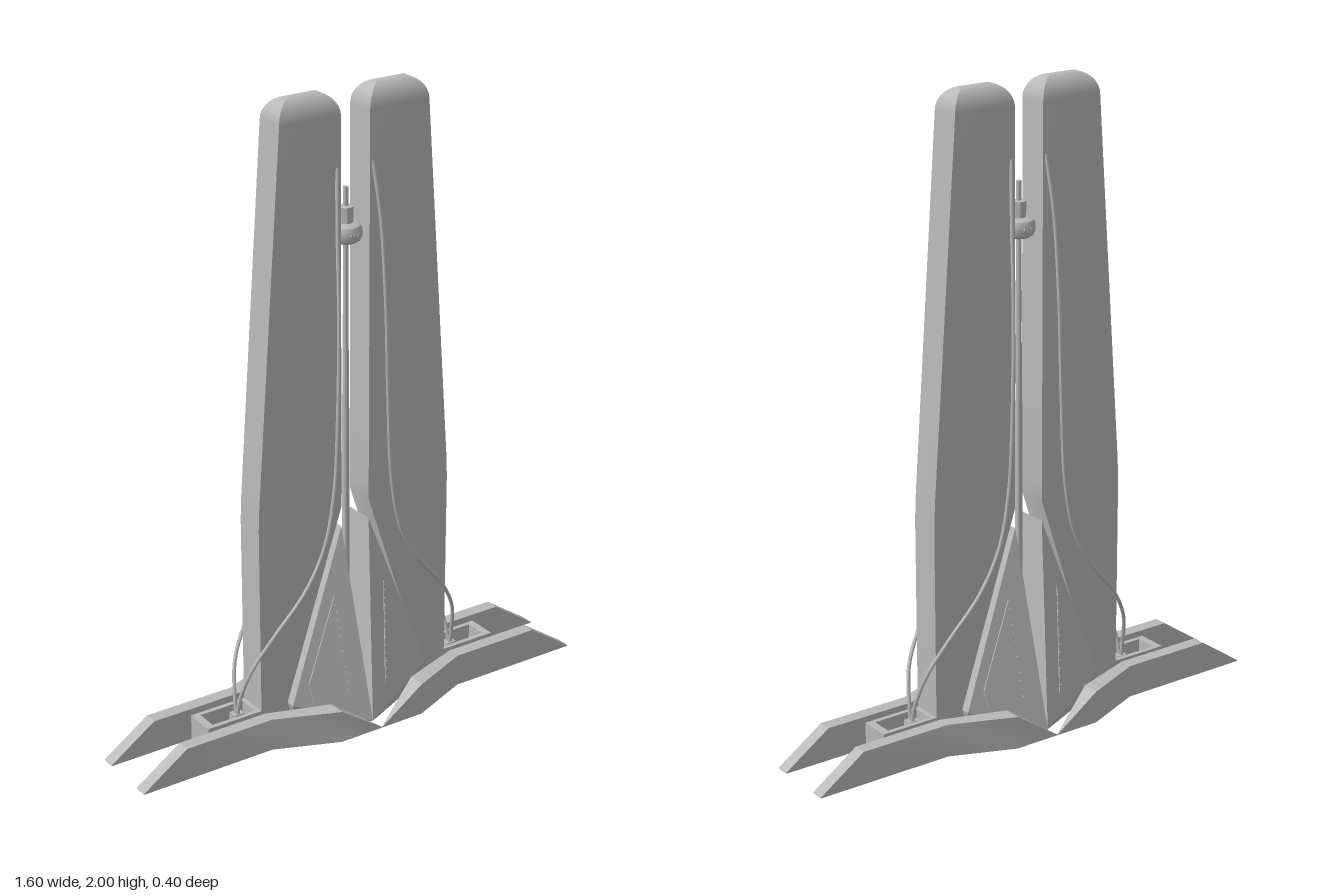
import * as THREE from 'three';
import { toCreasedNormals } from 'three/addons/utils/BufferGeometryUtils.js';
import { ConvexGeometry } from 'three/addons/geometries/ConvexGeometry.js';

const grey = new THREE.MeshStandardMaterial({ color: 0xb8b8b8 });
grey.name = 'hull grey';

const V = (x, y, z) => new THREE.Vector3(x, y, z);

// Skins closed four-point rings and caps both ends
function loft(rings) {
  const n = rings[0].length, idx = [], last = (rings.length - 1) * n;
  for (let i = 0; i < rings.length - 1; i++) {
    for (let j = 0; j < n; j++) {
      const a = i * n + j, b = i * n + (j + 1) % n;
      idx.push(a, b, b + n, a, b + n, a + n);
    }
  }
  for (let j = 1; j < n - 1; j++) {
    idx.push(0, j + 1, j, last, last + j, last + j + 1);
  }
  const g = new THREE.BufferGeometry();
  g.setAttribute('position', new THREE.Float32BufferAttribute(rings.flat(2), 3));
  g.setIndex(idx);
  return toCreasedNormals(g, 0.45);
}

export function createModel() {
  const model = new THREE.Group();
  model.name = 'tower';
  const add = (name, geometry, parent = model) => {
    const m = new THREE.Mesh(geometry, grey);
    m.name = name;
    parent.add(m);
    return m;
  };

  // Tall blade: [y, inner x, outer x, half depth], with a rounded crown
  const sections = [
    [0.02, 0.275, 0.345, 0.05], [0.1, 0.25, 0.345, 0.05],
    [0.71, 0.05, 0.345, 0.05], [0.78, 0.05, 0.342, 0.05],
  ];
  for (let i = 0; i <= 7; i++) {
    const t = (i / 7) * 1.45, s = 1 - Math.cos(t);
    sections.push([1.93 + 0.07 * Math.sin(t) / Math.sin(1.45),
      0.05 + 0.065 * s, 0.258 - 0.065 * s, 0.05 * Math.cos(t)]);
  }
  const bladeGeo = loft(sections.map(([y, a, b, h]) =>
    [[a, y, -h], [a, y, h], [b, y, h], [b, y, -h]]));

  // Buttress fin, tapering from the base to a tip beside the mast
  const finPoints = [];
  for (const s of [1, -1]) {
    finPoints.push(V(0.05, 0.645, 0.05 * s), V(0, 0, 0.15 * s),
      V(0.25, 0.1, 0.08 * s), V(0.22, 0, 0.05 * s));
  }
  const finGeo = new ConvexGeometry(finPoints);
  const finZ = (x, y) => 0.15 - 0.225 * x - 0.139 * y;

  // Thin panel lying on the fin face
  const panel = (s) => new ConvexGeometry(
    [[0.092, 0.43], [0.195, 0.16], [0.185, 0.1], [0.065, 0.1]].flatMap(([x, y]) =>
      [V(x, y, (finZ(x, y) - 0.002) * s), V(x, y, (finZ(x, y) + 0.004) * s)]));
  const rivetGeo = new THREE.SphereGeometry(0.003, 6, 4);

  // Hollow equipment tray at the foot of the blade
  const traySh = new THREE.Shape([[0.1, -0.05], [0.535, -0.05], [0.535, 0.05], [0.1, 0.05]]
    .map(([x, y]) => new THREE.Vector2(x, y)));
  traySh.holes.push(new THREE.Path([[0.36, -0.035], [0.36, 0.035], [0.51, 0.035], [0.51, -0.035]]
    .map(([x, y]) => new THREE.Vector2(x, y))));
  const trayGeo = new THREE.ExtrudeGeometry(traySh, { depth: 0.1, bevelEnabled: false });
  trayGeo.rotateX(-Math.PI / 2);

  const cablePath = [
    [0.403, 0.06, 0], [0.4, 0.14, 0.015], [0.375, 0.25, 0.048], [0.31, 0.36, 0.076],
    [0.21, 0.48, 0.088], [0.14, 0.61, 0.09], [0.105, 0.78, 0.092], [0.09, 1.05, 0.092],
    [0.083, 1.35, 0.087], [0.076, 1.6, 0.07], [0.062, 1.78, 0.048],
  ];

  // Two identical sides, turned about the mast
  for (const turn of [0, Math.PI]) {
    const side = new THREE.Group();
    side.name = turn ? 'rightSide' : 'leftSide';
    side.rotation.y = turn;
    model.add(side);
    add('blade', bladeGeo, side);
    add('fin', finGeo, side);
    add('tray', trayGeo, side);
    add('trayFloor', new THREE.BoxGeometry(0.16, 0.03, 0.08), side).position.set(0.435, 0.02, 0);
    add('cableSocket', new THREE.BoxGeometry(0.035, 0.06, 0.03), side).position.set(0.402, 0.06, 0);
    for (const s of [1, -1]) {
      add('finPanel', panel(s), side);
      for (let i = 0; i < 12; i++) {
        const t = i / 11, x = 0.071 + 0.02 * t, y = 0.12 + 0.28 * t;
        add('rivet', rivetGeo, side).position.set(x, y, (finZ(x, y) + 0.004) * s);
      }
      const curve = new THREE.CatmullRomCurve3(cablePath.map(([x, y, z]) => V(x, y, z * s)));
      add('cable', new THREE.TubeGeometry(curve, 80, 0.006, 8), side);
    }
  }

  // Landing rail: [x, top y, inner z, outer z], pinched to a point at the middle
  const half = [[0.8, 0.003, 0.075, 0.118], [0.65, 0.105, 0.075, 0.118],
    [0.35, 0.105, 0.075, 0.118], [0.15, 0.105, 0.143, 0.2]];
  const stations = [
    ...half.map(([x, ...r]) => [-x, ...r]), [0, 0.002, 0.198, 0.2], ...half.slice().reverse(),
  ];
  const railGeo = loft(stations.map(([x, y, a, b]) =>
    [[x, y, a], [x, y, b], [x, 0, b], [x, 0, a]]));
  add('frontRail', railGeo);
  add('backRail', railGeo).rotation.y = Math.PI;

  // Keel plate under the fins
  add('keelPlate', new THREE.BoxGeometry(0.2, 0.008, 0.1)).position.y = 0.004;

  // Mast with a rounded sensor head and a thin tip
  const mastProfile = [
    [0, 0], [0.018, 0], [0.016, 0.18], [0.012, 0.2], [0.012, 0.85], [0.009, 1.2], [0.008, 1.53],
    [0.032, 1.532], [0.044, 1.54], [0.049, 1.553], [0.049, 1.572], [0.044, 1.584],
    [0.034, 1.59], [0.022, 1.592], [0.022, 1.64], [0.008, 1.642], [0.008, 1.7], [0, 1.7],
  ];
  add('mast', toCreasedNormals(new THREE.LatheGeometry(
    mastProfile.map(([r, y]) => new THREE.Vector2(r, y)), 24), 0.6));

  // Small lenses around the sensor head
  for (const s of [1, -1]) {
    for (const x of [-0.012, 0, 0.012]) {
      const lens = add('lens', new THREE.CylinderGeometry(0.005, 0.005, 0.008, 10));
      lens.rotation.x = Math.PI / 2;
      lens.position.set(x, 1.562, 0.047 * s);
    }
  }
  return model;
}
